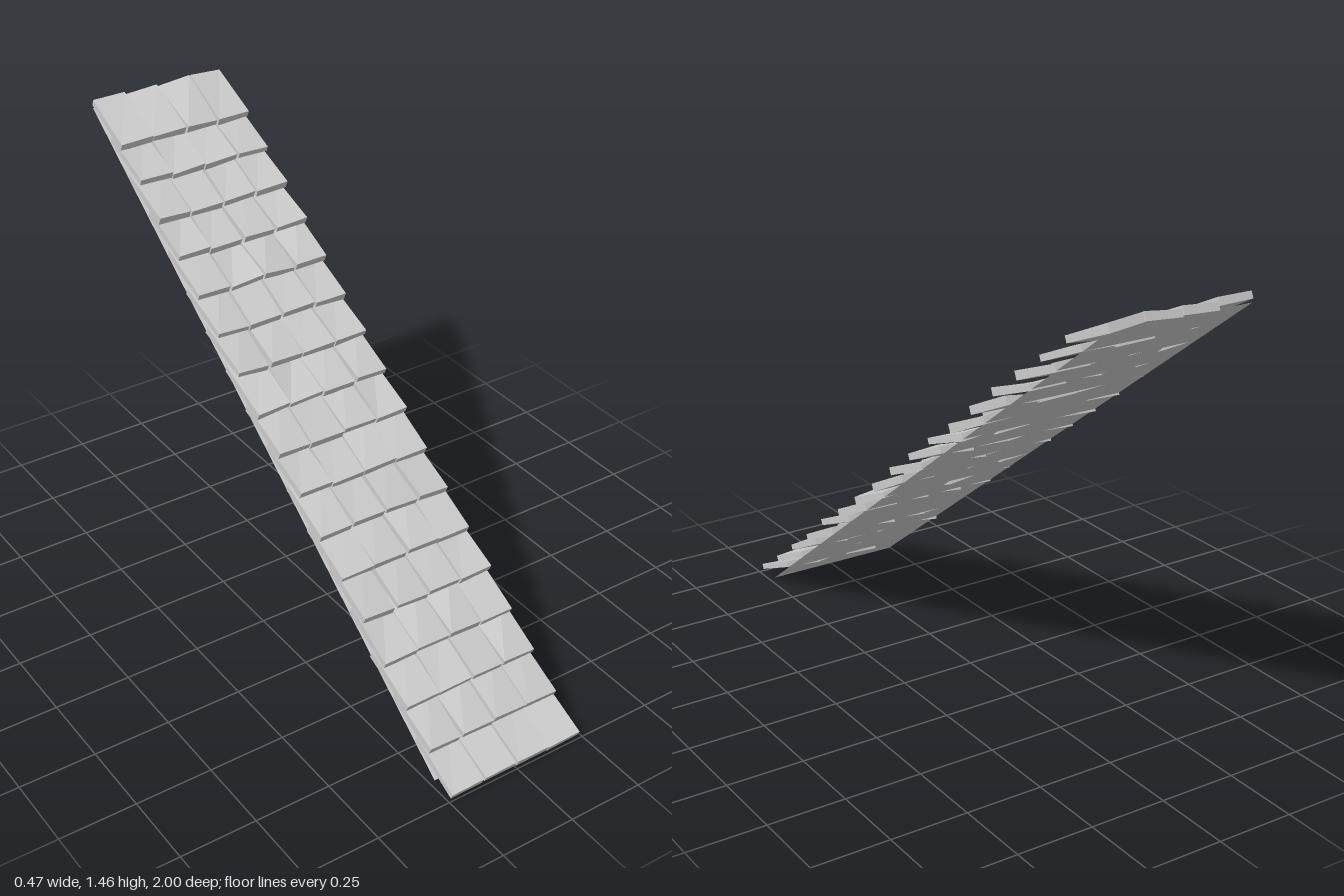
import * as THREE from 'three';

const ROWS = 17, COLS = 4;
const PITCH = 0.42;                      // tilt of each shingle
const STEP_Z = 0.113, STEP_Y = 0.0844;   // offset from one row to the next

// small seeded generator, returns -1..1
function makeRandom(seed) {
  return () => {
    seed = (seed * 1664525 + 1013904223) >>> 0;
    return seed / 2147483648 - 1;
  };
}

// slab with uneven corners; outerSide keeps the strip's outer edge straight
function shingleGeometry(rand, outerSide) {
  const geo = new THREE.BoxGeometry(0.113, 0.024, 0.2);
  const corners = Array.from({ length: 4 }, () => ({
    x: rand() * 0.004, lift: rand() * 0.008, thick: rand() * 0.003,
  }));
  const pos = geo.attributes.position;
  for (let i = 0; i < pos.count; i++) {
    const x = pos.getX(i), y = pos.getY(i), z = pos.getZ(i);
    const c = corners[(x > 0 ? 1 : 0) + (z > 0 ? 2 : 0)];
    const dx = Math.sign(x) === outerSide ? 0 : c.x;
    pos.setXYZ(i, x + dx, y + c.lift + Math.sign(y) * c.thick, z);
  }
  geo.computeVertexNormals();
  return geo;
}

export function createModel() {
  const group = new THREE.Group();
  group.name = 'shingledRoofStrip';
  const material = new THREE.MeshStandardMaterial({ color: 0xcccccc, flatShading: true });
  const rand = makeRandom(17);

  // overlapping shingles, row by row up the slope
  for (let r = 0; r < ROWS; r++) {
    const row = new THREE.Group();
    row.name = `shingleRow${r + 1}`;
    row.position.set(0, 0.06 + r * STEP_Y, 0.904 - r * STEP_Z);
    for (let c = 0; c < COLS; c++) {
      const outer = c === 0 ? -1 : c === COLS - 1 ? 1 : 0;
      const tile = new THREE.Mesh(shingleGeometry(rand, outer), material);
      tile.name = 'shingle';
      tile.position.x = (c - (COLS - 1) / 2) * 0.12;
      tile.rotation.x = PITCH;
      row.add(tile);
    }
    group.add(row);
  }

  // thin backing sheet under the shingles
  const low = new THREE.Vector2(0.91, 0.014), high = new THREE.Vector2(-0.995, 1.437);
  const backing = new THREE.Mesh(
    new THREE.PlaneGeometry(0.472, low.distanceTo(high)),
    new THREE.MeshStandardMaterial({ color: 0xcccccc, side: THREE.DoubleSide })
  );
  backing.name = 'backingSheet';
  backing.position.set(0, (low.y + high.y) / 2, (low.x + high.x) / 2);
  backing.rotation.x = -Math.atan2(low.x - high.x, high.y - low.y);
  group.add(backing);

  return group;
}
